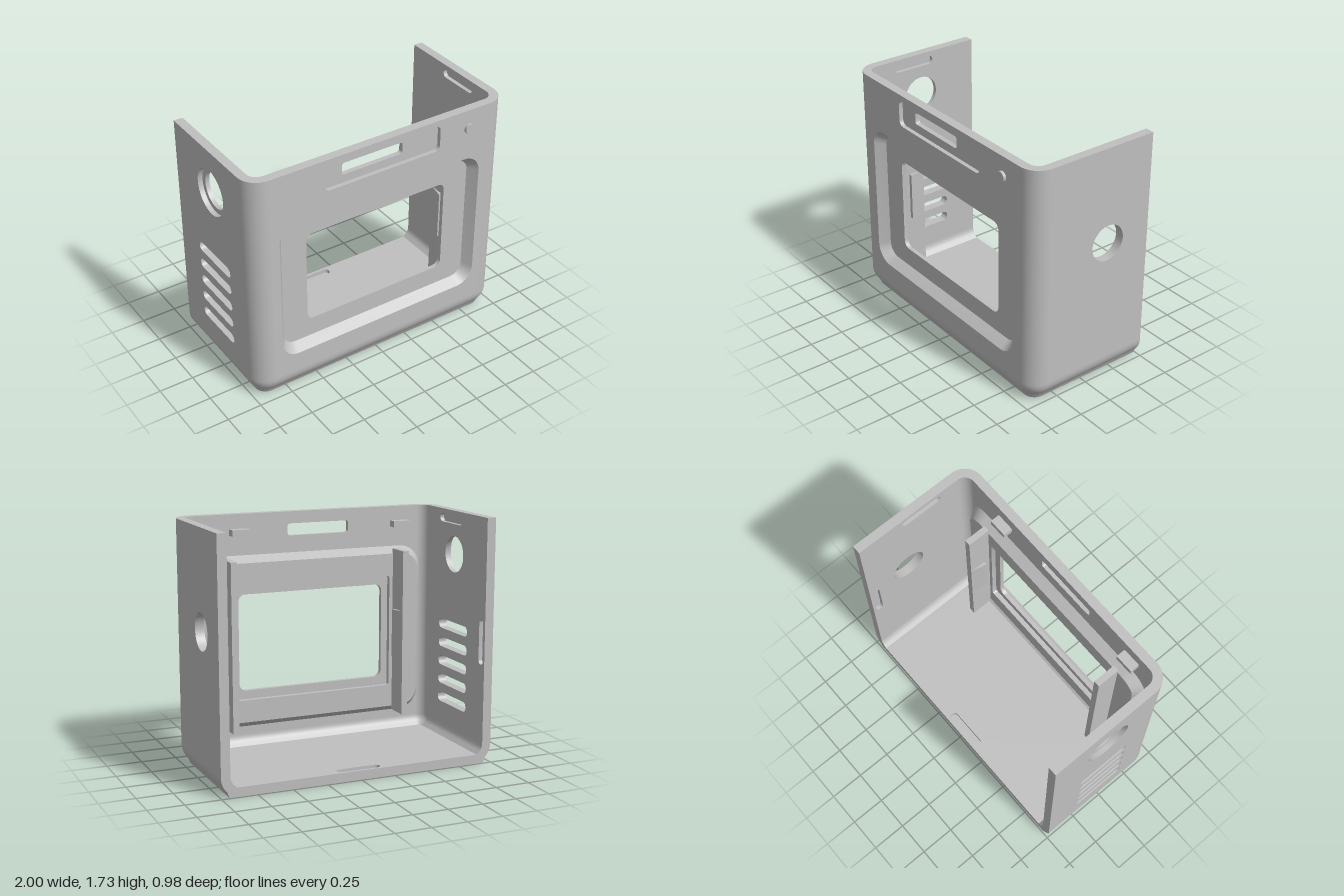
import * as THREE from 'three';
import { toCreasedNormals } from 'three/addons/utils/BufferGeometryUtils.js';

const V = (x, y) => new THREE.Vector2(x, y);

// Counter-clockwise rounded rectangle around (cx, cy), given half sizes.
function roundRect(cx, cy, hw, hh, r, n = 6) {
  const pts = [];
  [[1, -1], [1, 1], [-1, 1], [-1, -1]].forEach(([sx, sy], q) => {
    for (let i = 0; i <= n; i++) {
      const a = (q - 1 + i / n) * Math.PI / 2;
      pts.push(V(cx + sx * (hw - r) + r * Math.cos(a), cy + sy * (hh - r) + r * Math.sin(a)));
    }
  });
  return pts;
}
const rect = (x0, x1, y0, y1) => [V(x0, y0), V(x1, y0), V(x1, y1), V(x0, y1)];
function circle(cx, cy, r, n = 48) {
  return Array.from({ length: n }, (_, i) => {
    const a = i / n * Math.PI * 2;
    return V(cx + r * Math.cos(a), cy + r * Math.sin(a));
  });
}
function slab(points, depth, holes = []) {
  const shape = new THREE.Shape(points);
  holes.forEach(h => shape.holes.push(new THREE.Path(h)));
  return new THREE.ExtrudeGeometry(shape, { depth, bevelEnabled: false });
}
// Slabs along each axis: outlines in (x, y), (z, y) and (x, -z).
const slabZ = (pts, z0, z1, holes) => slab(pts, z1 - z0, holes).translate(0, 0, z0);
const slabX = (pts, x0, x1, holes) => slab(pts, x1 - x0, holes).rotateY(-Math.PI / 2).translate(x1, 0, 0);
const slabY = (pts, y0, y1, holes) => slab(pts, y1 - y0, holes).rotateX(-Math.PI / 2).translate(0, y0, 0);

// Skin through rounded rectangles [half width, half height, radius, z].
function loft(rings, cy) {
  const pos = [], idx = [];
  const loops = rings.map(([hw, hh, r]) => roundRect(0, cy, hw, hh, r, 8));
  const n = loops[0].length;
  loops.forEach((loop, i) => loop.forEach(p => pos.push(p.x, p.y, rings[i][3])));
  for (let i = 0; i < rings.length - 1; i++) {
    for (let j = 0; j < n; j++) {
      const a = i * n + j, b = i * n + (j + 1) % n;
      idx.push(a, b, b + n, a, b + n, a + n);
    }
  }
  const g = new THREE.BufferGeometry();
  g.setAttribute('position', new THREE.Float32BufferAttribute(pos, 3));
  g.setIndex(idx);
  return g;
}

export function createModel() {
  const model = new THREE.Group();
  model.name = 'deviceCase';
  const grey = new THREE.MeshStandardMaterial({ color: 0xbfbfbf });
  grey.name = 'grey plastic';
  const add = (name, geo) => {
    const mesh = new THREE.Mesh(toCreasedNormals(geo, 0.5), grey);
    mesh.name = name;
    model.add(mesh);
  };

  const H = 1.73, BACK = -0.49, FRONT = 0.47, R = 0.14, T = 0.065;
  const CX = 1 - R, CZ = FRONT - R, MID = 0.82;

  // Bottom edge profile: an arc that runs into a 45 degree chamfer, outside and inside
  const arc = (r, n = 8) => Array.from({ length: n + 1 }, (_, i) => {
    const a = -Math.PI / 4 * (1 - i / n);
    return V(r * Math.cos(a), R + r * Math.sin(a));
  });
  const outer = [V(0, 0), V(0.586 * R, 0), ...arc(R)];
  const inner = [...arc(R - T).reverse(), V(0.031, T), V(0, T)];
  const edge = [...outer, ...inner];
  const cornerProfile = [...outer, V(R, H), V(R - T, H), ...inner];

  for (const s of [1, -1]) {
    add('frontCorner', new THREE.LatheGeometry(cornerProfile, 16, s > 0 ? 0 : -Math.PI / 2, Math.PI / 2)
      .translate(s * CX, 0, CZ));
    add('sideBottomEdge', slabZ(edge.map(p => V(s * (CX + p.x), p.y)), BACK, CZ));
  }
  add('frontBottomEdge', slabX(edge.map(p => V(CZ + p.x, p.y)), -CX, CX));

  // Floor with a blind latch groove near the back
  const floor = rect(-CX, CX, -CZ, -BACK);
  add('floor', slabY(floor, 0, 0.035));
  add('floorGrooveLayer', slabY(floor, 0.035, T, [roundRect(0, 0.44, 0.16, 0.03, 0.029)]));

  // Side walls: an outer layer and an inner layer holding blind latch grooves
  const side = rect(BACK, CZ, R, H);
  const grooves = [roundRect(0.02, 1.665, 0.16, 0.03, 0.029), roundRect(-0.44, 0.86, 0.03, 0.16, 0.029)];
  const port = circle(-0.145, 1.04, 0.13);
  add('leftWall', slabX(side, 0.965, 1, [port]));
  add('leftWallInner', slabX(side, 0.935, 0.965, [port, ...grooves]));
  const vents = [0, 1, 2, 3, 4].map(i => roundRect(-0.035, 0.89 - i * 0.138, 0.207, 0.036, 0.035));
  add('rightWall', slabX(side, -1, -0.965, [circle(-0.035, 1.42, 0.167), ...vents]));
  add('rightWallInner', slabX(side, -0.965, -0.935, [circle(-0.035, 1.42, 0.13), ...vents, ...grooves]));

  // Front wall with a shallow pocket around the upper slot
  const front = rect(-CX, CX, R, H);
  const opening = roundRect(0, MID, 0.795, 0.535, 0.13, 8);
  add('frontWall', slabZ(front, 0.44, FRONT, [opening, roundRect(-0.002, 1.595, 0.452, 0.095, 0.04)]));
  add('frontWallInner', slabZ(front, FRONT - T, 0.44, [opening, roundRect(-0.07, 1.602, 0.235, 0.043, 0.02)]));

  // Sloped screen recess, window, rear screen seat and raised back
  add('screenFrame', loft([
    [0.795, 0.535, 0.13, FRONT],
    [0.745, 0.487, 0.09, 0.40],
    [0.555, 0.347, 0.05, 0.40],
    [0.555, 0.347, 0.05, 0.37],
    [0.605, 0.41, 0.02, 0.37],
    [0.605, 0.41, 0.02, 0.335],
    [0.83, 0.573, 0.12, 0.335],
    [0.88, 0.62, 0.16, 0.406],
  ], MID));

  // Screen clips with inward teeth
  for (const s of [1, -1]) {
    add('screenClip', slabY(rect(s * 0.632, s * 0.677, -0.34, -0.17), 0.22, 1.43));
    add('clipTooth', slabY([V(s * 0.634, -0.17), V(s * 0.606, -0.29), V(s * 0.634, -0.29)], 0.64, 0.99));
  }

  // Small lid tabs behind the front wall
  for (const x of [0.535, -0.708]) {
    add('lidTab', new THREE.BoxGeometry(0.135, 0.045, 0.075).translate(x, 1.605, 0.3745));
  }

  // Round front button
  add('button', new THREE.CylinderGeometry(0.037, 0.037, 0.03, 32).rotateX(Math.PI / 2).translate(0.687, 1.593, 0.475));

  return model;
}
